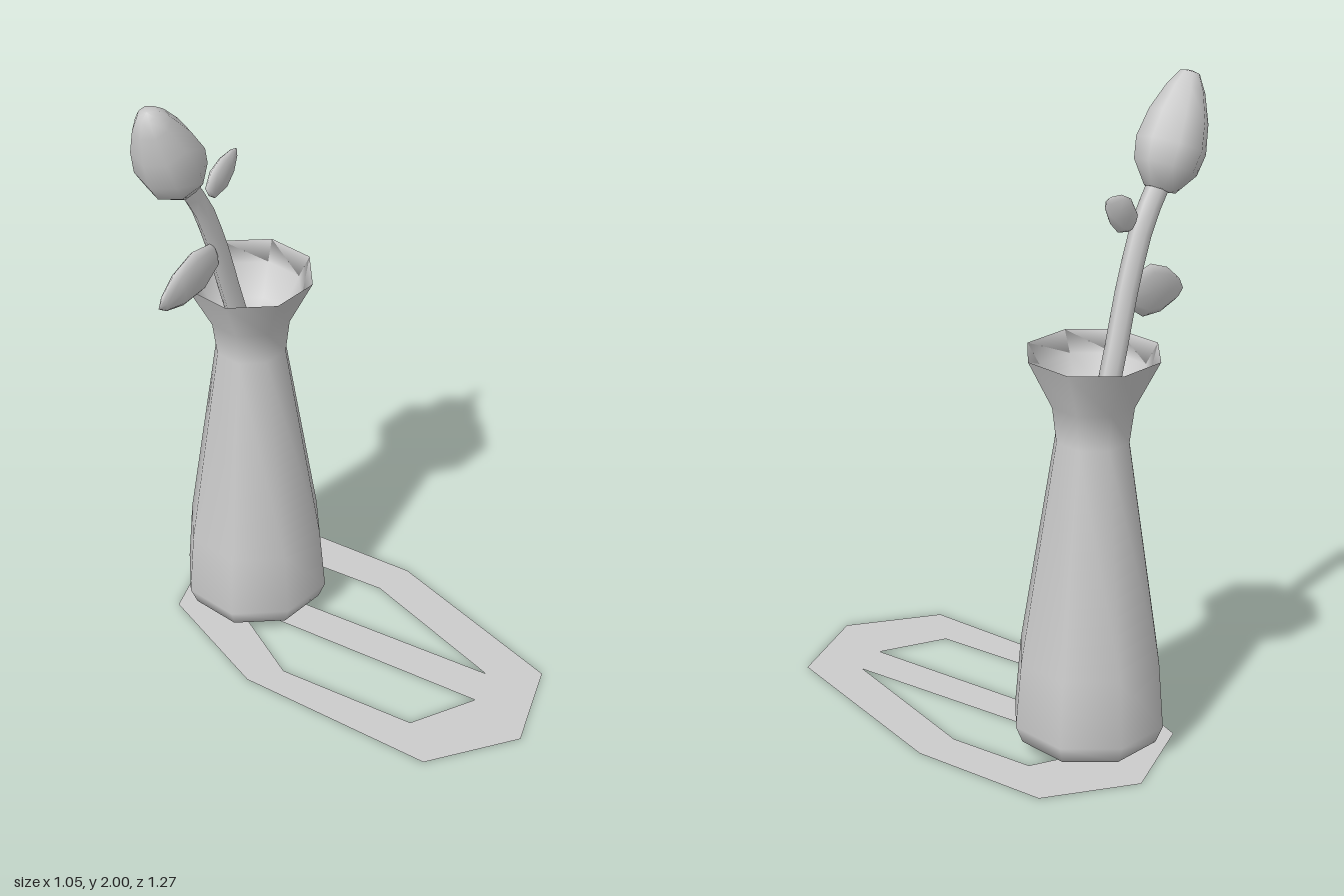
import * as THREE from 'three';

const grey = new THREE.MeshStandardMaterial({ color: 0xcccccc });
const greyBoth = new THREE.MeshStandardMaterial({ color: 0xcccccc, side: THREE.DoubleSide });
const v2 = (pairs) => pairs.map(([x, y]) => new THREE.Vector2(x, y));
const v3 = (p) => new THREE.Vector3(...p);

function add(group, name, geometry, material = grey) {
  const mesh = new THREE.Mesh(geometry, material);
  mesh.name = name;
  group.add(mesh);
  return mesh;
}

// Pointed body turned round the line from base to tip, flattened across the
// vertical plane in which the flower bends. Profile: [radius, part of length].
const acrossBend = new THREE.Vector3(0.48, 0, 0.87);
function pod(group, name, profile, base, tip, radius, flat) {
  const a = v3(base), axis = v3(tip).sub(a);
  const length = axis.length();
  const geometry = new THREE.LatheGeometry(v2(profile.map(([r, t]) => [r * radius, t * length])), 8);
  geometry.scale(1, 1, flat);
  const y = axis.normalize();
  const x = new THREE.Vector3().crossVectors(y, acrossBend).normalize();
  const z = new THREE.Vector3().crossVectors(x, y);
  geometry.applyMatrix4(new THREE.Matrix4().makeBasis(x, y, z).setPosition(a));
  add(group, name, geometry);
}

export function createModel() {
  const model = new THREE.Group();
  model.name = 'vaseWithFlower';

  // Eight-sided vase with a flared mouth and a hollow neck
  const vase = add(model, 'vase', new THREE.LatheGeometry(v2([
    [0, 0.025], [0.15, 0.025], [0.215, 0.045], [0.237, 0.1], [0.22, 0.31],
    [0.113, 1.0], [0.127, 1.11], [0.202, 1.26],
    [0.165, 1.2], [0.115, 1.1], [0, 1.09],
  ]), 8));
  vase.position.set(-0.117, 0, -0.355);

  // Flower: bent stem, bud and two leaves
  const flower = new THREE.Group();
  flower.name = 'flower';
  model.add(flower);
  const stemPath = new THREE.CatmullRomCurve3([
    [-0.15, 1.09, -0.36], [-0.197, 1.26, -0.335], [-0.235, 1.4, -0.31],
    [-0.267, 1.5, -0.292], [-0.305, 1.6, -0.272], [-0.37, 1.71, -0.243],
  ].map(v3));
  add(flower, 'stem', new THREE.TubeGeometry(stemPath, 8, 0.033, 6), greyBoth);

  pod(flower, 'bud',
    [[0, 0], [0.45, 0.02], [0.9, 0.2], [1, 0.38], [0.85, 0.62], [0.55, 0.85], [0.28, 0.98], [0, 1]],
    [-0.362, 1.675, -0.25], [-0.495, 1.995, -0.165], 0.105, 1);

  const leaf = [[0, 0], [0.6, 0.06], [1, 0.35], [0.85, 0.65], [0.4, 0.9], [0, 1]];
  pod(flower, 'largeLeaf', leaf, [-0.245, 1.405, -0.295], [-0.485, 1.345, -0.175], 0.078, 0.35);
  pod(flower, 'smallLeaf', leaf, [-0.268, 1.605, -0.288], [-0.148, 1.7, -0.352], 0.052, 0.4);

  // Flat outline lying on the ground, with two openings either side of a bar
  const outline = new THREE.Shape(v2([
    [-0.16, -0.64], [0.15, -0.6], [0.38, -0.23], [0.525, 0.41],
    [0.315, 0.635], [0, 0.59], [-0.325, 0.015], [-0.375, -0.415],
  ]));
  outline.holes.push(
    new THREE.Path(v2([[0.365, 0.33], [0.255, -0.19], [0.105, -0.42], [-0.125, -0.42]])),
    new THREE.Path(v2([[-0.205, -0.34], [-0.205, 0.03], [0.045, 0.42], [0.275, 0.42]])),
  );
  const ground = new THREE.ShapeGeometry(outline);
  ground.rotateX(Math.PI / 2); // shape y becomes z
  // Turn the faces upward
  const index = ground.index.array;
  for (let i = 0; i < index.length; i += 3) [index[i], index[i + 1]] = [index[i + 1], index[i]];
  ground.computeVertexNormals();
  add(model, 'groundShadow', ground, greyBoth);

  return model;
}
